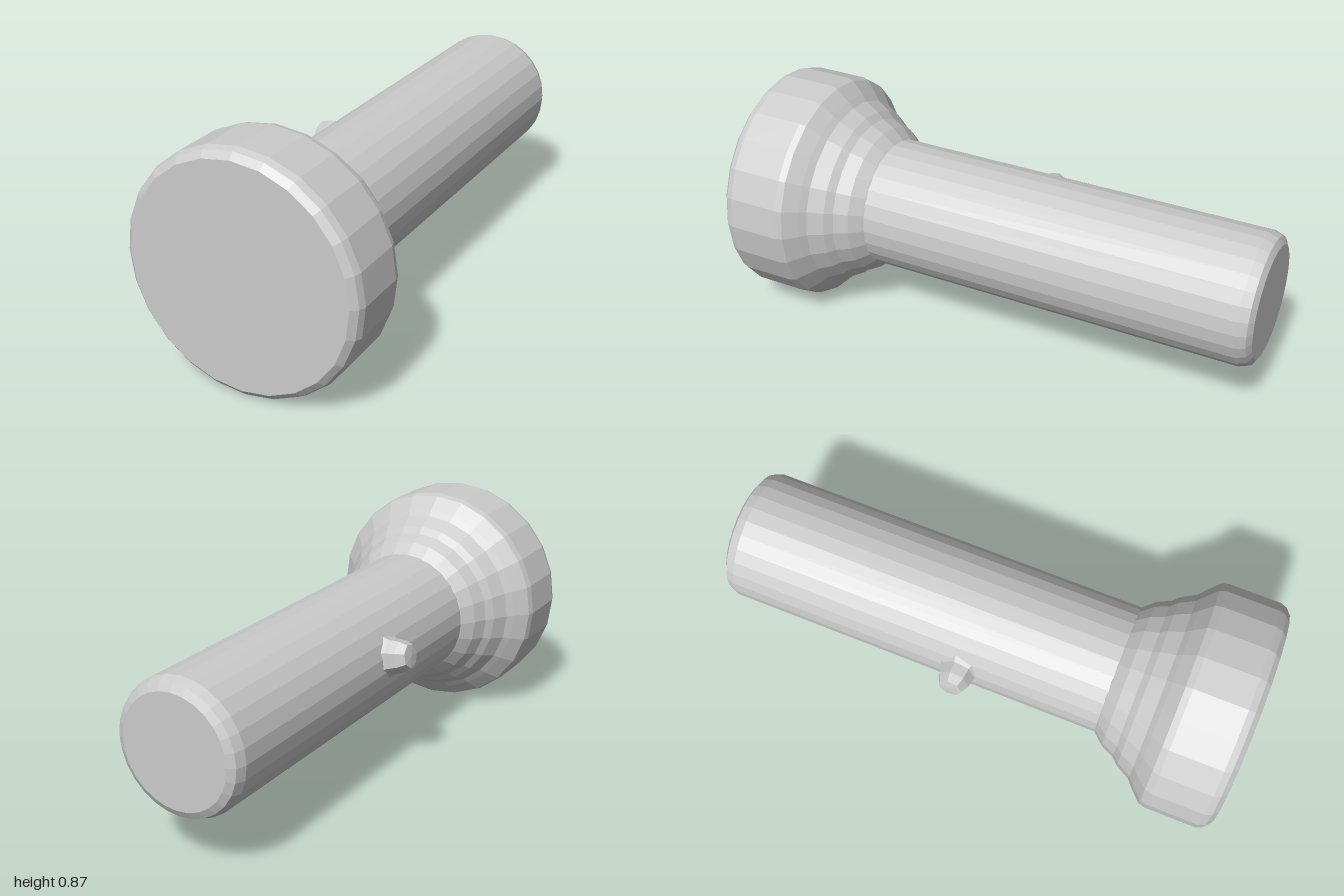
import * as THREE from 'three';

const AXIS_Y = 0.436; // height of the torch's centre line

const material = new THREE.MeshStandardMaterial({ color: 0xcccccc, flatShading: true });

// Turned part: profile of [radius, position along the axis]
function turned(name, profile, sides) {
  const points = profile.map(([r, p]) => new THREE.Vector2(r, p));
  const mesh = new THREE.Mesh(new THREE.LatheGeometry(points, sides), material);
  mesh.name = name;
  return mesh;
}

export function createModel() {
  const group = new THREE.Group();
  group.name = 'flashlight';

  // Long handle with a bevelled tail, running back along -z
  const handle = turned('handle', [
    [0, -1], [0.205, -1], [0.232, -0.985], [0.245, -0.95], [0.245, 0.52],
  ], 28);

  // Stepped, flaring head with a flat bevelled front
  const head = turned('head', [
    [0.24, 0.49], [0.25, 0.5], [0.285, 0.54], [0.308, 0.59], [0.332, 0.615],
    [0.362, 0.67], [0.385, 0.69], [0.43, 0.735], [0.437, 0.76],
    [0.437, 0.955], [0.428, 0.98], [0.405, 1], [0, 1],
  ], 24);

  for (const part of [handle, head]) {
    part.rotation.x = Math.PI / 2;
    part.position.y = AXIS_Y;
    group.add(part);
  }

  // Small switch button on the right side of the handle, with a flared base
  const button = turned('switchButton', [
    [0.1, 0.2], [0.068, 0.25], [0.06, 0.29], [0.045, 0.322], [0, 0.326],
  ], 7);
  button.rotation.z = Math.PI / 2 - 0.2;
  button.position.set(0, AXIS_Y, -0.045);
  group.add(button);

  return group;
}
